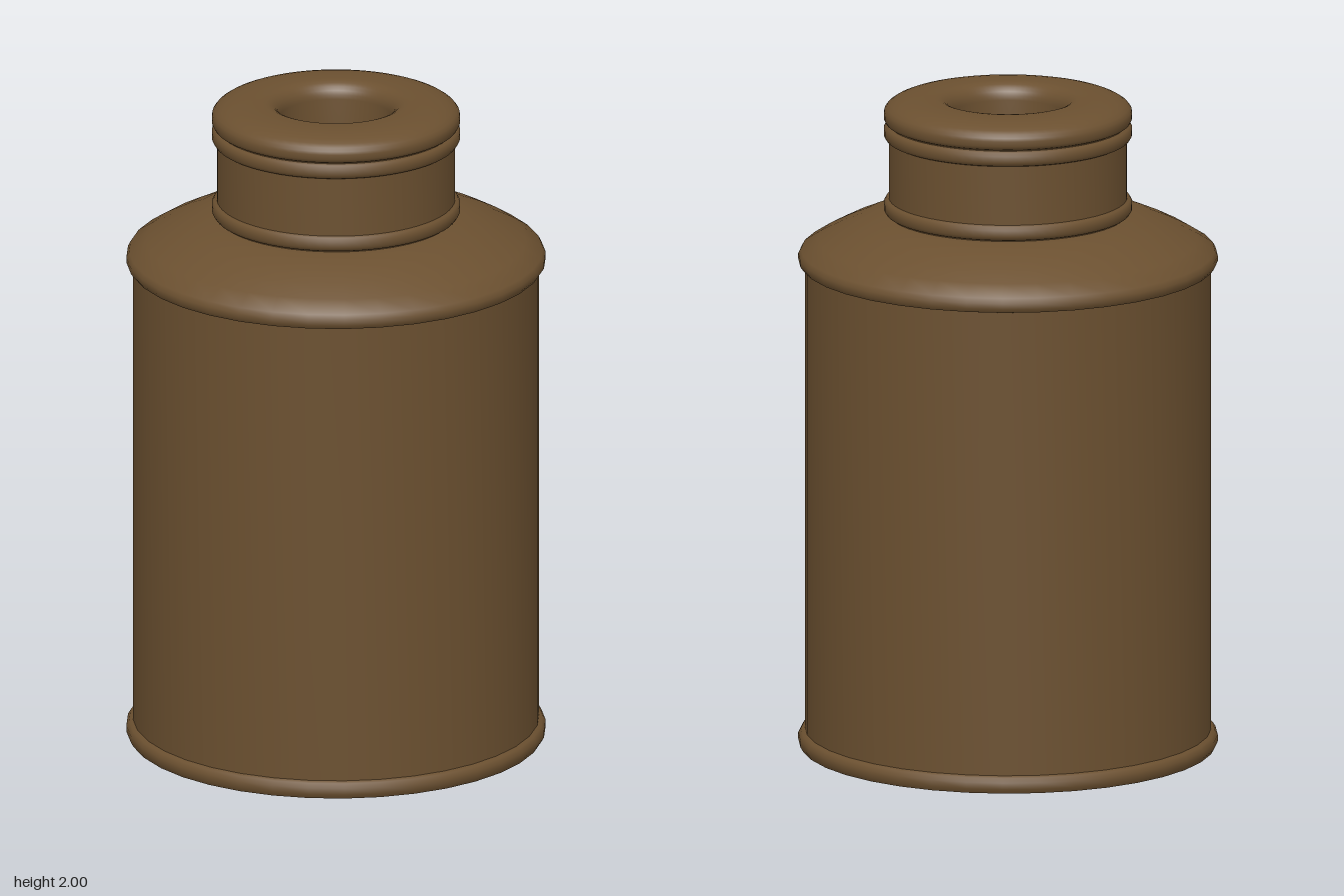
import * as THREE from 'three';
import { toCreasedNormals } from 'three/addons/utils/BufferGeometryUtils.js';

const material = new THREE.MeshStandardMaterial({ color: 0x6b5030 });
const BODY_SIDES = 36;
const NECK_SIDES = 72;

// Revolves a profile of [radius, height] pairs, listed so the outside faces out
function turned(name, profile, sides) {
  const points = profile.map(([r, y]) => new THREE.Vector2(r, y));
  const geometry = toCreasedNormals(new THREE.LatheGeometry(points, sides), 0.7);
  const mesh = new THREE.Mesh(geometry, material);
  mesh.name = name;
  return mesh;
}

// Profile of a rounded bead that swells from radius r to radius R
function bead(r, R, y0, y1) {
  const h = y1 - y0;
  return [[r, y0], [(r + 2 * R) / 3, y0 + h * 0.1], [R, y0 + h * 0.3],
    [R, y0 + h * 0.7], [(r + 2 * R) / 3, y0 + h * 0.9], [r, y1]];
}

// Quarter of an ellipse around (cx, cy), from angle a0 to a1 in degrees
function arc(cx, cy, rx, ry, a0, a1, steps = 6) {
  return Array.from({ length: steps + 1 }, (_, i) => {
    const a = THREE.MathUtils.degToRad(a0 + (a1 - a0) * i / steps);
    return [cx + rx * Math.cos(a), cy + ry * Math.sin(a)];
  });
}

export function createModel() {
  const group = new THREE.Group();
  group.name = 'bottle';

  group.add(
    // Closed base with a rolled rim
    turned('baseRim', [[0, 0], [0.622, 0], [0.63, 0.014], [0.63, 0.034], [0.622, 0.047], [0.61, 0.052]], BODY_SIDES),
    // Straight wall
    turned('body', [[0.61, 0.04], [0.61, 1.49]], BODY_SIDES),
    // Domed shoulder with a lip, closed across the top below the neck
    turned('shoulder', [[0.61, 1.483], [0.622, 1.486], [0.63, 1.498], [0.63, 1.515], [0.622, 1.53],
      [0.57, 1.563], [0.51, 1.594], [0.45, 1.62], [0.39, 1.638], [0.35, 1.643], [0, 1.643]], BODY_SIDES),
    // Neck wall and its two beads
    turned('neck', [[0.358, 1.64], [0.358, 1.93]], NECK_SIDES),
    turned('neckLowerBead', bead(0.355, 0.373, 1.643, 1.693), NECK_SIDES),
    turned('neckUpperBead', bead(0.355, 0.373, 1.872, 1.922), NECK_SIDES),
    // Rounded mouth rim that rolls over into the bore
    turned('mouth', [[0.355, 1.922], [0.368, 1.928], [0.373, 1.938], [0.373, 1.953],
      ...arc(0.26, 1.955, 0.113, 0.045, 10, 90),
      ...arc(0.22, 1.95, 0.052, 0.05, 90, 180), [0.168, 1.643]], NECK_SIDES),
  );
  return group;
}
